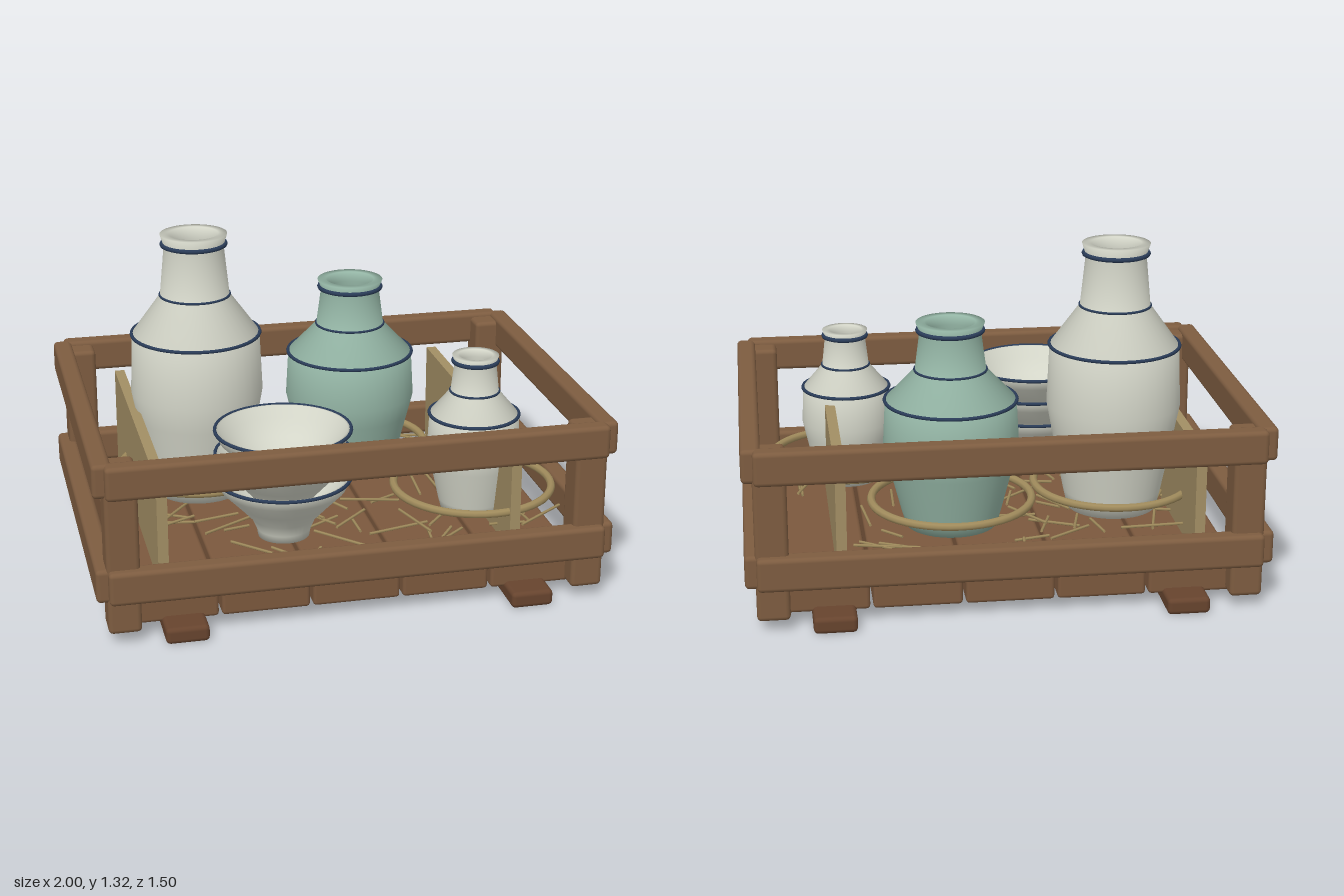
import * as THREE from 'three';
import { RoundedBoxGeometry } from 'three/addons/geometries/RoundedBoxGeometry.js';

const mat = (color, side = THREE.FrontSide) => new THREE.MeshStandardMaterial({ color, side });
const WOOD = mat(0x7d5c40), PLANK = mat(0x7b583d), DARK = mat(0x67442e);
const TAN = mat(0xa28e64), STRAW = mat(0xa08b5c), NAVY = mat(0x2a3c58);
const CREAM = mat(0xd3d5c8, THREE.DoubleSide), TEAL = mat(0x94b5a5, THREE.DoubleSide);

const BED = 0.24; // height at which the pottery rests on the straw

function add(parent, name, geometry, material, x = 0, y = 0, z = 0) {
  const mesh = new THREE.Mesh(geometry, material);
  mesh.name = name;
  mesh.position.set(x, y, z);
  parent.add(mesh);
  return mesh;
}

// Timber with softened edges, given its centre and size
function timber(parent, name, material, [w, h, d], [x, y, z], r = 0.018) {
  return add(parent, name, new RoundedBoxGeometry(w, h, d, 2, r), material, x, y, z);
}

// Horizontal ring
function ring(parent, name, material, radius, tube, x, y, z) {
  const geometry = new THREE.TorusGeometry(radius, tube, 8, 48).rotateX(Math.PI / 2);
  return add(parent, name, geometry, material, x, y, z);
}

const lathe = (points) =>
  new THREE.LatheGeometry(points.map(([r, y]) => new THREE.Vector2(r, y)), 40);

function createCrate() {
  const crate = new THREE.Group();
  crate.name = 'crate';
  for (const s of [-1, 1]) {
    timber(crate, 'runner', DARK, [0.165, 0.065, 1.5], [s * 0.67, 0.035, 0]);
    for (const y of [0.245, 0.66]) {
      timber(crate, 'longRail', WOOD, [1.91, 0.132, 0.075], [0, y, s * 0.711]);
      timber(crate, 'sideRail', WOOD, [0.075, 0.132, 1.42], [s * 0.962, y, 0]);
    }
    for (const t of [-1, 1])
      timber(crate, 'cornerPost', WOOD, [0.125, 0.66, 0.13], [s * 0.897, 0.38, t * 0.65]);
  }
  for (let i = -2; i <= 2; i++)
    timber(crate, 'floorPlank', PLANK, [0.34, 0.125, 1.275], [i * 0.352, 0.108, 0], 0.014);
  for (const x of [-0.735, 0.635])
    add(crate, 'sideBoard', new THREE.BoxGeometry(0.04, 0.42, 1.21), TAN, x, 0.4, 0);
  return crate;
}

// Hollow vase with painted bands; all vases share one profile
function createVase(name, material, x, z, height, scale) {
  const vase = new THREE.Group();
  vase.name = name;
  vase.position.set(x, BED, z);
  const outer = [[0.18, 0], [0.196, 0.065], [0.245, 0.3], [0.265, 0.4], [0.255, 0.62],
    [0.138, 0.77], [0.118, 0.955], [0.133, 1]];
  const inner = outer.slice(1).reverse().map(([r, t]) => [r - 0.035, t]);
  const profile = [[0, 0], ...outer, ...inner, [0, 0.065]]
    .map(([r, t]) => [r * scale, t * height]);
  add(vase, name + 'Body', lathe(profile), material);
  for (const [r, t, tube] of [[0.256, 0.622, 0.007], [0.139, 0.77, 0.005], [0.125, 0.962, 0.009]])
    ring(vase, 'paintedBand', NAVY, r * scale, tube, 0, t * height, 0);
  return vase;
}

function createBowls() {
  const stack = new THREE.Group();
  stack.name = 'bowlStack';
  stack.position.set(-0.23, BED, 0.372);
  const profile = [[0, 0], [0.1, 0], [0.105, 0.03], [0.125, 0.075], [0.18, 0.135],
    [0.243, 0.2], [0.263, 0.245], [0.248, 0.245], [0.225, 0.2], [0.165, 0.145],
    [0.1, 0.1], [0, 0.085]];
  for (let i = 0; i < 3; i++) {
    const bowl = new THREE.Group();
    bowl.name = 'bowl';
    bowl.position.y = i * 0.097;
    add(bowl, 'bowlBody', lathe(profile), CREAM);
    ring(bowl, 'rimBand', NAVY, 0.261, 0.007, 0, 0.243, 0);
    stack.add(bowl);
  }
  return stack;
}

// Loose strands scattered around each pot
function createStraw(spots) {
  const straw = new THREE.Group();
  straw.name = 'looseStraw';
  let seed = 7;
  const rnd = (a, b) => {
    seed = (seed * 16807) % 2147483647;
    return a + (b - a) * (seed / 2147483647);
  };
  for (const [cx, cz] of spots) {
    for (let i = 0; i < 16; i++) {
      const a = rnd(0, Math.PI * 2), d = rnd(0.18, 0.4);
      const x = THREE.MathUtils.clamp(cx + Math.cos(a) * d, -0.78, 0.8);
      const z = THREE.MathUtils.clamp(cz + Math.sin(a) * d, -0.55, 0.55);
      const strand = add(straw, 'strand',
        new THREE.CylinderGeometry(0.006, 0.006, rnd(0.1, 0.26), 5).rotateX(Math.PI / 2),
        STRAW, x, rnd(0.19, 0.25), z);
      strand.rotation.set(rnd(-0.12, 0.12), rnd(0, Math.PI), 0);
    }
  }
  return straw;
}

export function createModel() {
  const model = new THREE.Group();
  model.name = 'potteryCrate';
  model.add(createCrate());

  const vases = [
    ['tallVase', CREAM, -0.475, -0.157, 1.078, 1],
    ['greenVase', TEAL, 0.185, -0.267, 0.815, 1],
    ['smallVase', CREAM, 0.56, 0.277, 0.642, 0.69],
  ];
  for (const v of vases) {
    model.add(createVase(...v));
    ring(model, 'strawRing', STRAW, 0.315, 0.016, v[2], 0.34, v[3]);
  }
  model.add(createBowls());
  model.add(createStraw([...vases.map((v) => [v[2], v[3]]), [-0.23, 0.372]]));
  return model;
}
